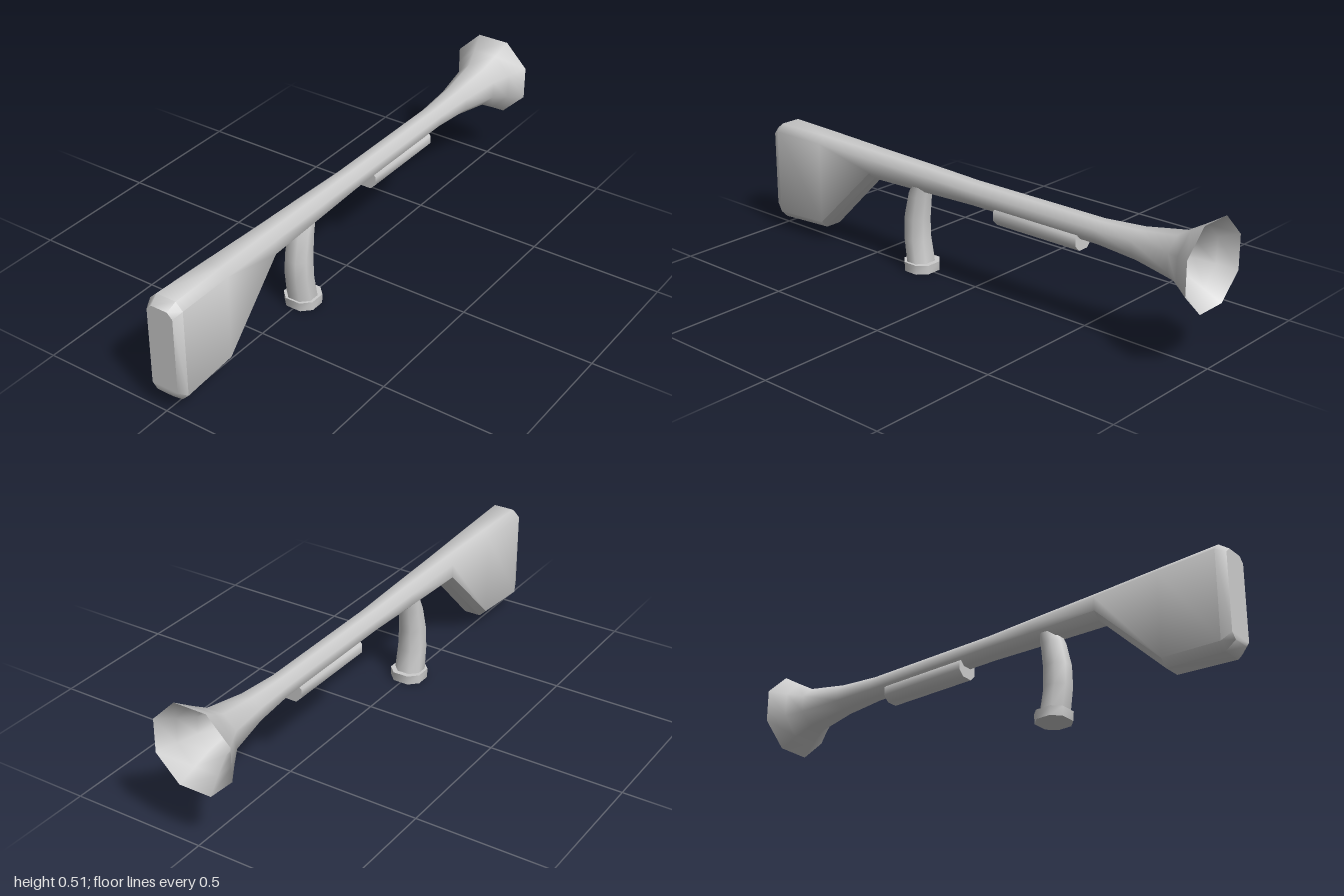
import * as THREE from 'three';
import { toCreasedNormals } from 'three/addons/utils/BufferGeometryUtils.js';

const material = new THREE.MeshStandardMaterial({ color: 0xcccccc, side: THREE.DoubleSide });

// Chamfered-rectangle ring, counter-clockwise seen from +z
function octagon(z, halfW, bottom, top, c) {
  const w = halfW;
  return [
    [w, bottom + c], [w, top - c], [w - c, top], [c - w, top],
    [-w, top - c], [-w, bottom + c], [c - w, bottom], [w - c, bottom],
  ].map(([x, y]) => [x, y, z]);
}

// Skin a row of rings running toward -z and cap both ends
function loft(name, sections) {
  const rings = sections.map((s) => octagon(...s));
  const n = 8, last = (rings.length - 1) * n, index = [];
  for (let k = 0; k < rings.length - 1; k++) {
    for (let i = 0; i < n; i++) {
      const a = k * n + i, b = k * n + (i + 1) % n;
      index.push(a, a + n, b, b, a + n, b + n);
    }
  }
  for (let i = 1; i < n - 1; i++) {
    index.push(0, i, i + 1, last, last + i + 1, last + i);
  }
  const geo = new THREE.BufferGeometry();
  geo.setAttribute('position', new THREE.Float32BufferAttribute(rings.flat(2), 3));
  geo.setIndex(index);
  const mesh = new THREE.Mesh(toCreasedNormals(geo, THREE.MathUtils.degToRad(50)), material);
  mesh.name = name;
  return mesh;
}

// Regular octagon section on the bore axis
const round = (z, r) => [z, r, 0.361 - r, 0.361 + r, r * 0.586];

// Upright loft: sections are [height, halfWidth, zBack, zFront, chamfer], top first
function uprightLoft(name, sections) {
  const mesh = loft(name, sections.map(([y, w, z0, z1, c]) => [y, w, -z1, -z0, c]));
  mesh.rotation.x = -Math.PI / 2;
  return mesh;
}

export function createModel() {
  const model = new THREE.Group();
  model.name = 'launcher';

  // Stock, tube and flared bell in one skin; the last rings form the hollow mouth
  model.add(loft('stockTubeAndBell', [
    [1.0, 0.052, 0.075, 0.402, 0.02],
    [0.965, 0.066, 0.042, 0.426, 0.027],
    [0.74, 0.06, 0.052, 0.422, 0.027],
    [0.48, 0.053, 0.31, 0.416, 0.027],
    [0.2, 0.047, 0.315, 0.41, 0.026],
    [0.0, 0.043, 0.32, 0.404, 0.025],
    round(-0.56, 0.042),
    round(-0.72, 0.053),
    round(-0.88, 0.079),
    round(-0.938, 0.112),
    round(-1.0, 0.15),
    round(-0.94, 0.111),
    round(-0.88, 0.076),
    round(-0.74, 0.05),
  ]));

  // Curved pistol grip and its foot
  model.add(uprightLoft('grip', [
    [0.35, 0.038, 0.215, 0.285, 0.022],
    [0.29, 0.042, 0.227, 0.312, 0.025],
    [0.2, 0.046, 0.237, 0.332, 0.027],
    [0.12, 0.049, 0.236, 0.333, 0.028],
    [0.025, 0.052, 0.22, 0.318, 0.028],
  ]));
  model.add(uprightLoft('gripFoot', [
    [0.035, 0.062, 0.203, 0.327, 0.032],
    [0.0, 0.062, 0.205, 0.324, 0.032],
  ]));

  // Fore-end block under the tube
  model.add(loft('foreEnd', [
    [-0.12, 0.043, 0.277, 0.352, 0.022],
    [-0.485, 0.043, 0.277, 0.352, 0.022],
  ]));
  return model;
}
